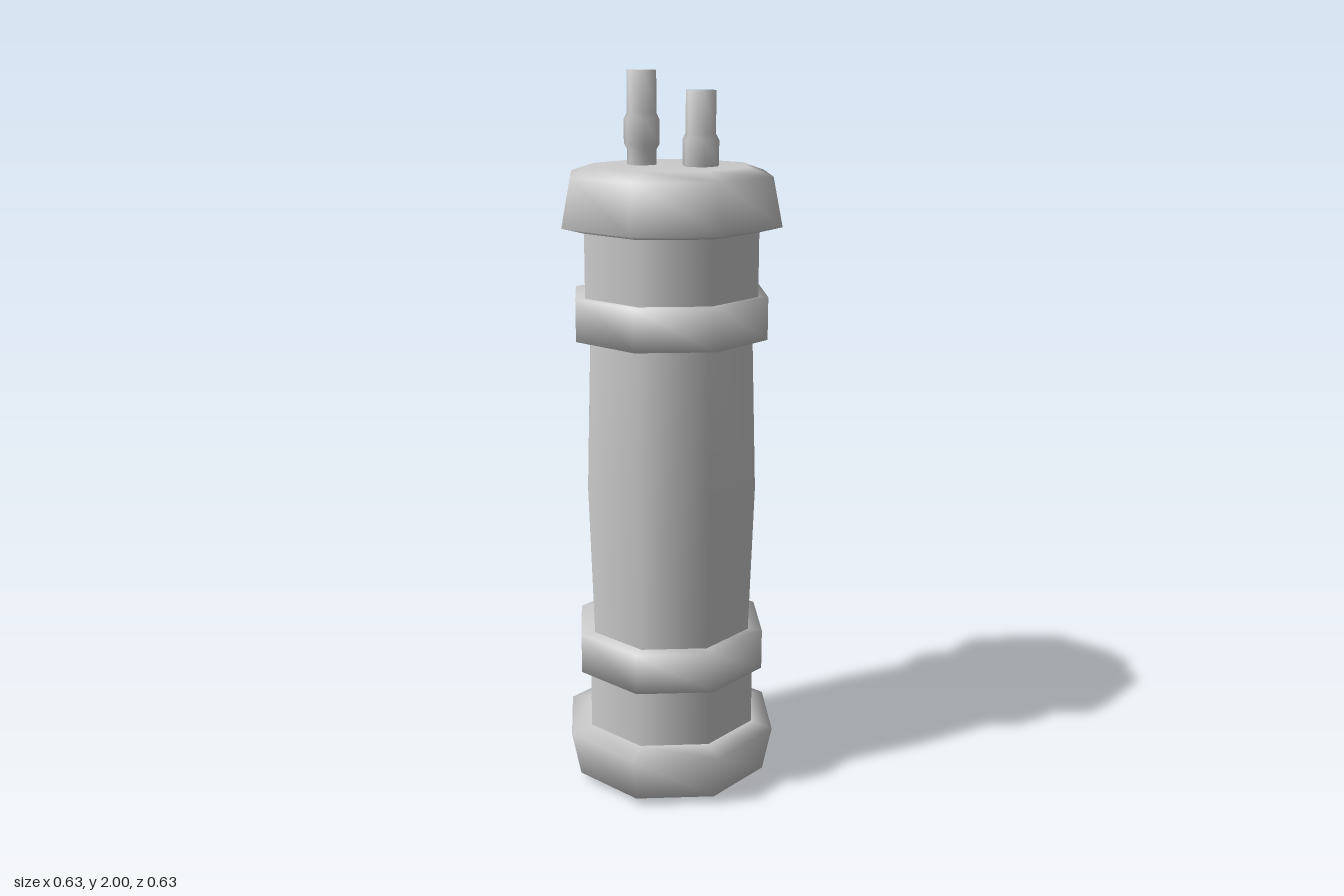
import * as THREE from 'three';

const grey = new THREE.MeshStandardMaterial({ color: 0xcccccc });

// Smooth-shaded turned part with few sides; profile is [radius, y] from bottom to top
function turned(name, profile, sides = 8, phiStart = 0) {
  const points = profile.map(([r, y]) => new THREE.Vector2(r, y));
  const mesh = new THREE.Mesh(new THREE.LatheGeometry(points, sides, phiStart), grey);
  mesh.name = name;
  return mesh;
}

// Same profile upside down, for the matching part at the other end
const HEIGHT = 1.755;
const flip = (profile) => profile.map(([r, y]) => [r, HEIGHT - y]).reverse();

export function createModel() {
  const model = new THREE.Group();
  model.name = 'cylinderDevice';

  // Slightly bulged grip
  model.add(turned('grip', [[0.236, 0.4], [0.236, 0.455], [0.25, 0.88], [0.236, 1.305], [0.236, 1.36]]));

  // Parts repeated at both ends
  const neck = [[0.25, 0.1], [0.25, 0.38]];
  const collar = [[0.2, 0.34], [0.278, 0.34], [0.278, 0.455], [0.2, 0.455]];
  const cap = [[0, 0], [0.22, 0], [0.286, 0.022], [0.313, 0.152], [0.25, 0.168], [0.2, 0.168]];
  for (const [end, shape] of [['bottom', (p) => p], ['top', flip]]) {
    model.add(turned(end + 'Neck', shape(neck)));
    model.add(turned(end + 'Collar', shape(collar)));
    model.add(turned(end + 'Cap', shape(cap)));
  }

  // Two hexagonal pins, each with a thicker sleeve; the left one sits lower
  const pin = [[0.042, -0.02], [0.042, 0.04], [0.051, 0.055], [0.051, 0.118],
    [0.042, 0.135], [0.042, 0.245], [0, 0.245]];
  for (const [name, x, y] of [['rightPin', -0.08, 1.755], ['leftPin', 0.086, 1.705]]) {
    const mesh = turned(name, pin, 6, Math.PI / 2);
    mesh.position.set(x, y, 0);
    model.add(mesh);
  }
  return model;
}
